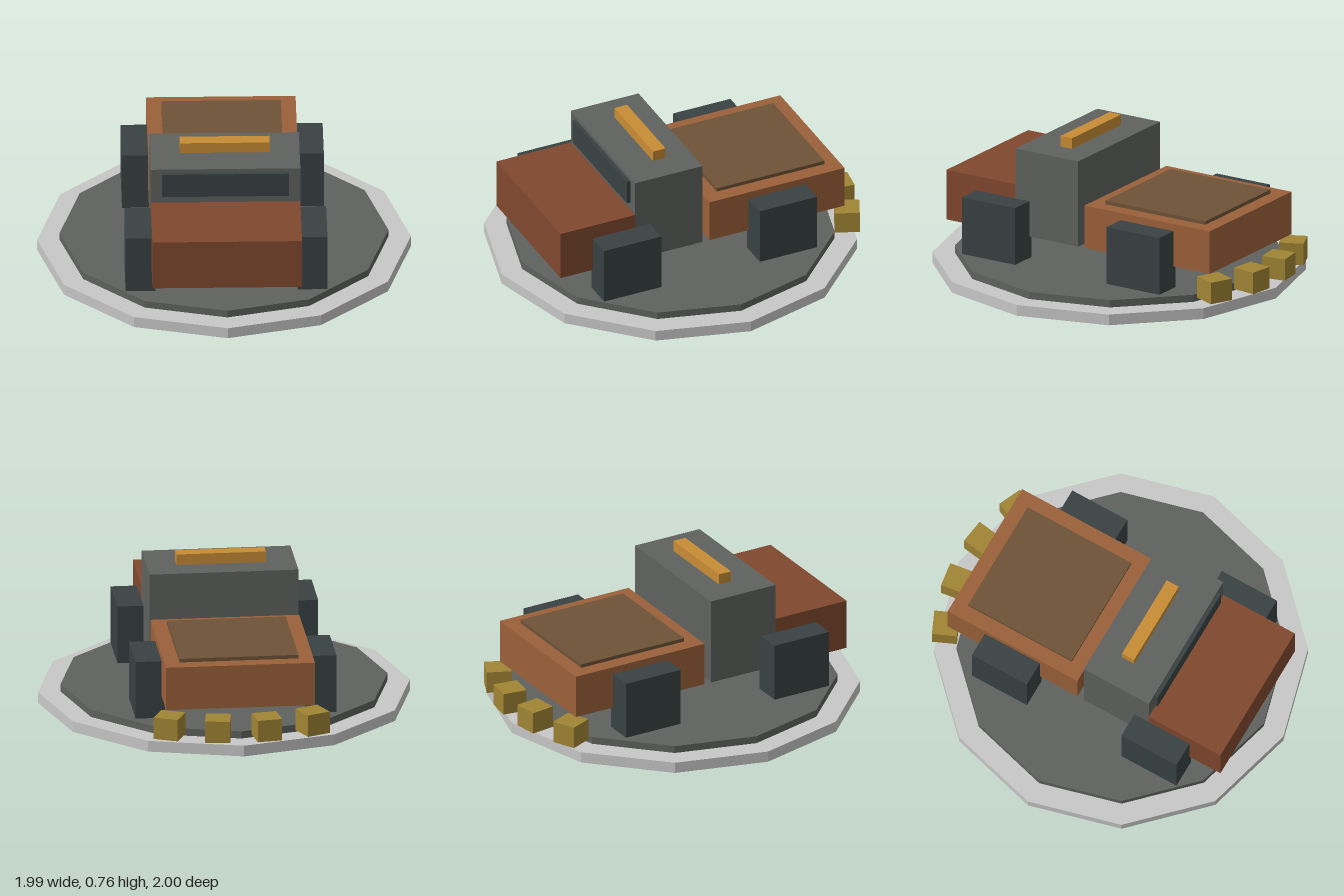
import * as THREE from 'three';

const paint = (name, color) => {
  const m = new THREE.MeshStandardMaterial({ color });
  m.name = name;
  return m;
};

export function createModel() {
  const stone = paint('pale stone', 0xc8c8c8);
  const grey = paint('grey', 0x5f625e);
  const dark = paint('charcoal', 0x394143);
  const rust = paint('rust', 0x80482e);
  const copper = paint('copper', 0x9c613a);
  const brown = paint('cargo brown', 0x6e5337);
  const amber = paint('amber', 0xc88c34);
  const ochre = paint('ochre', 0xa18534);

  const model = new THREE.Group();
  model.name = 'truckOnPlinth';
  const centreZ = 0.005;

  const add = (name, geometry, material, x, y, z) => {
    const mesh = new THREE.Mesh(geometry, material);
    mesh.name = name;
    mesh.position.set(x, y, z);
    model.add(mesh);
    return mesh;
  };

  // Box given by its width, bottom and top, back and front
  const box = (name, material, w, y0, y1, z0, z1, x = 0) =>
    add(name, new THREE.BoxGeometry(w, y1 - y0, z1 - z0), material, x, (y0 + y1) / 2, (z0 + z1) / 2);

  // Faceted twelve-sided disc
  const disc = (name, material, r, y0, y1) => {
    const geometry = new THREE.CylinderGeometry(r, r, y1 - y0, 12).toNonIndexed();
    geometry.computeVertexNormals();
    add(name, geometry, material, 0, (y0 + y1) / 2, centreZ);
  };

  // Plinth
  disc('plinth', stone, 0.995, 0, 0.06);
  disc('ground', grey, 0.875, 0.06, 0.1);

  // Truck body
  box('hood', rust, 0.796, 0.22, 0.498, 0.403, 0.842);
  box('cab', grey, 0.796, 0.22, 0.698, 0.005, 0.403);
  box('windscreen', dark, 0.676, 0.542, 0.677, 0.403, 0.423);
  box('lightBar', amber, 0.478, 0.698, 0.757, 0.148, 0.222);
  box('cargoBed', copper, 0.796, 0.22, 0.458, -0.83, -0.035);
  box('cargoCover', brown, 0.636, 0.458, 0.478, -0.75, -0.115);

  // Block wheels
  for (const side of [-1, 1]) {
    const label = side > 0 ? 'left' : 'right';
    box(label + 'FrontWheel', dark, 0.158, 0.1, 0.418, 0.315, 0.652, side * 0.458);
    box(label + 'RearWheel', dark, 0.158, 0.1, 0.418, -0.602, -0.265, side * 0.458);
  }

  // Crates in an arc along the back rim
  for (let i = 0; i < 4; i++) {
    const angle = (i - 1.5) * 0.28;
    const crate = box('crate' + (i + 1), ochre, 0.134, 0.08, 0.2, -0.067, 0.067);
    crate.position.x = 0.938 * Math.sin(angle);
    crate.position.z = centreZ - 0.938 * Math.cos(angle);
    crate.rotation.y = -angle;
  }

  return model;
}
